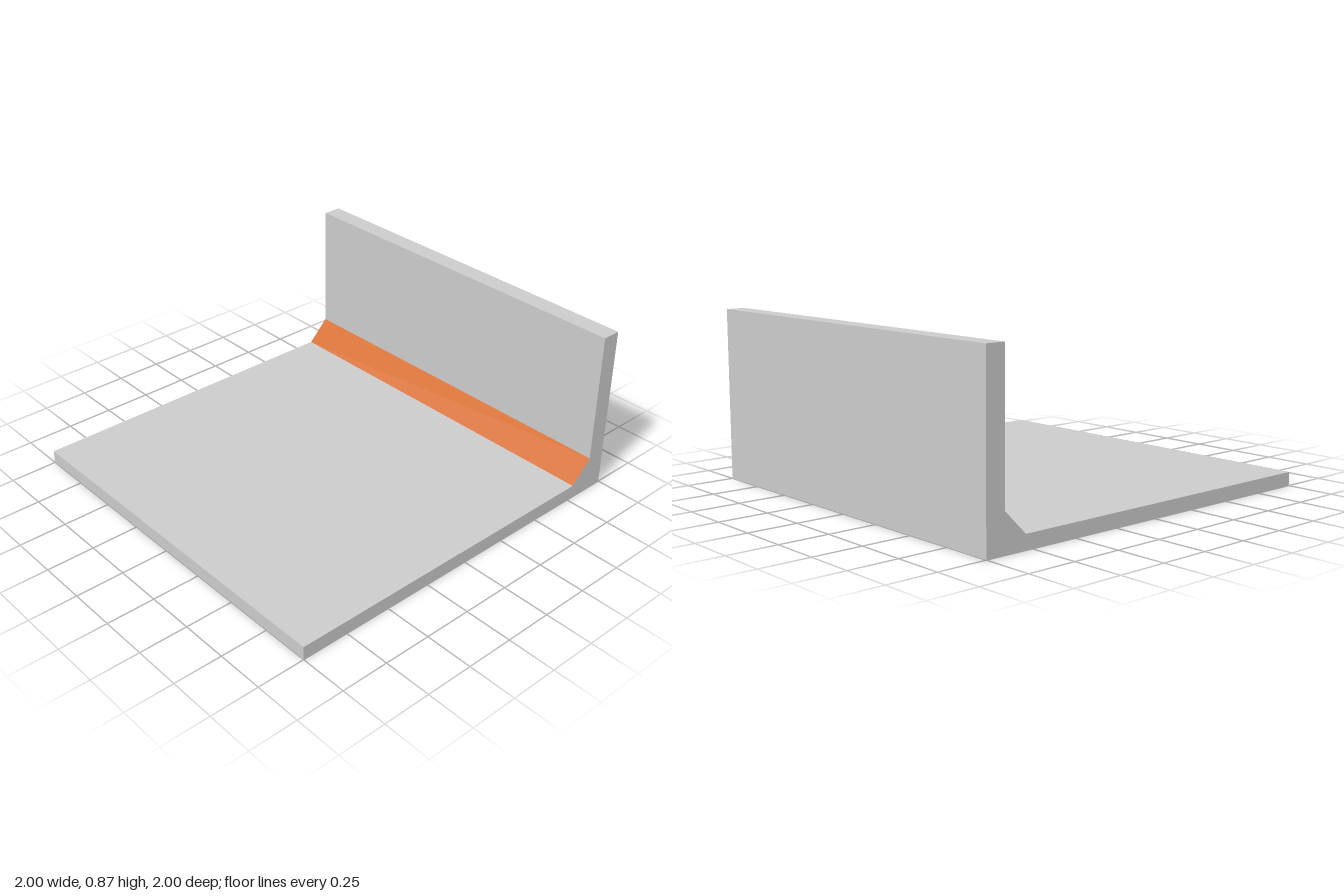
import * as THREE from 'three';

const DEPTH = 2;

// Extrude an x-y profile along z, centred on z = 0.
function extrudeProfile(points) {
  const shape = new THREE.Shape(points.map(([x, y]) => new THREE.Vector2(x, y)));
  const geometry = new THREE.ExtrudeGeometry(shape, { depth: DEPTH, bevelEnabled: false });
  return geometry.translate(0, 0, -DEPTH / 2);
}

export function createModel() {
  const group = new THREE.Group();
  group.name = 'angleBracket';
  const grey = new THREE.MeshStandardMaterial({ color: 0xcccccc });
  const orange = new THREE.MeshStandardMaterial({ color: 0xd2691e });

  const floorTop = 0.07, wallX = 0.9, wallTop = 0.872, leg = 0.115;

  // Floor plate and upright wall as one L section
  const body = new THREE.Mesh(extrudeProfile([
    [-1, 0], [1, 0], [1, wallTop], [wallX, wallTop], [wallX, floorTop], [-1, floorTop],
  ]), grey);
  body.name = 'floorAndWall';

  // Corner wedge: grey ends, orange sloping face
  const wedge = new THREE.Mesh(extrudeProfile([
    [wallX - leg, floorTop], [wallX, floorTop], [wallX, floorTop + leg],
  ]), [grey, orange]);
  wedge.name = 'cornerWedge';

  group.add(body, wedge);
  return group;
}
